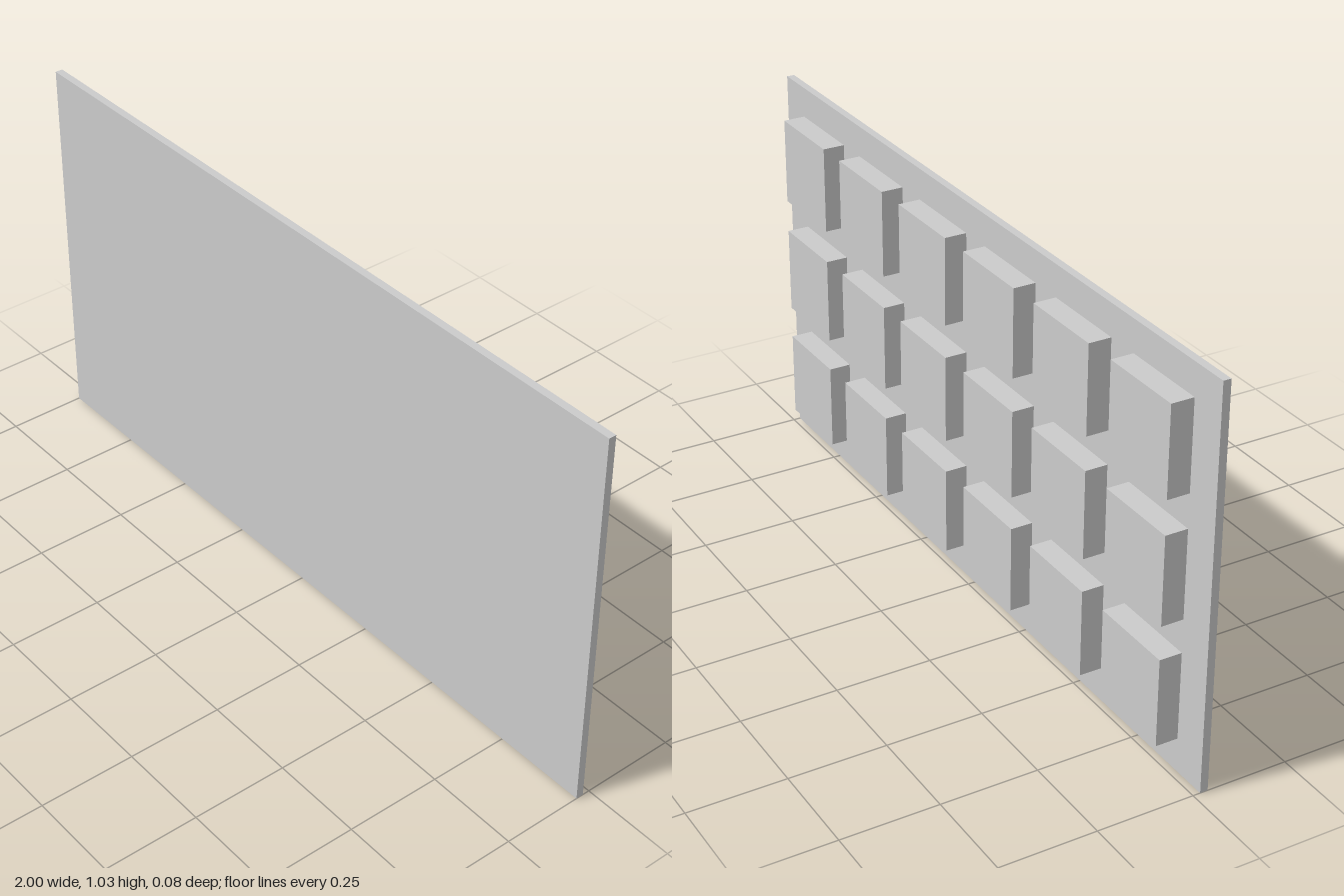
import * as THREE from 'three';

export function createModel() {
  const model = new THREE.Group();
  model.name = 'panelWithBlocks';
  const material = new THREE.MeshStandardMaterial({ color: 0xcccccc });

  // Thin flat panel
  const panel = new THREE.Mesh(new THREE.BoxGeometry(2, 1.03, 0.02), material);
  panel.name = 'panel';
  panel.position.set(0, 0.515, 0.029);
  model.add(panel);

  // Grid of square blocks on the back: 6 columns by 3 rows
  const blocks = new THREE.Group();
  blocks.name = 'backBlocks';
  const blockGeometry = new THREE.BoxGeometry(0.229, 0.229, 0.058);
  const pitch = 0.316;
  for (let row = 0; row < 3; row++) {
    for (let col = 0; col < 6; col++) {
      const block = new THREE.Mesh(blockGeometry, material);
      block.name = `block_${row + 1}_${col + 1}`;
      block.position.set((col - 2.5) * pitch, 0.518 + (row - 1) * pitch, -0.01);
      blocks.add(block);
    }
  }
  model.add(blocks);

  return model;
}
